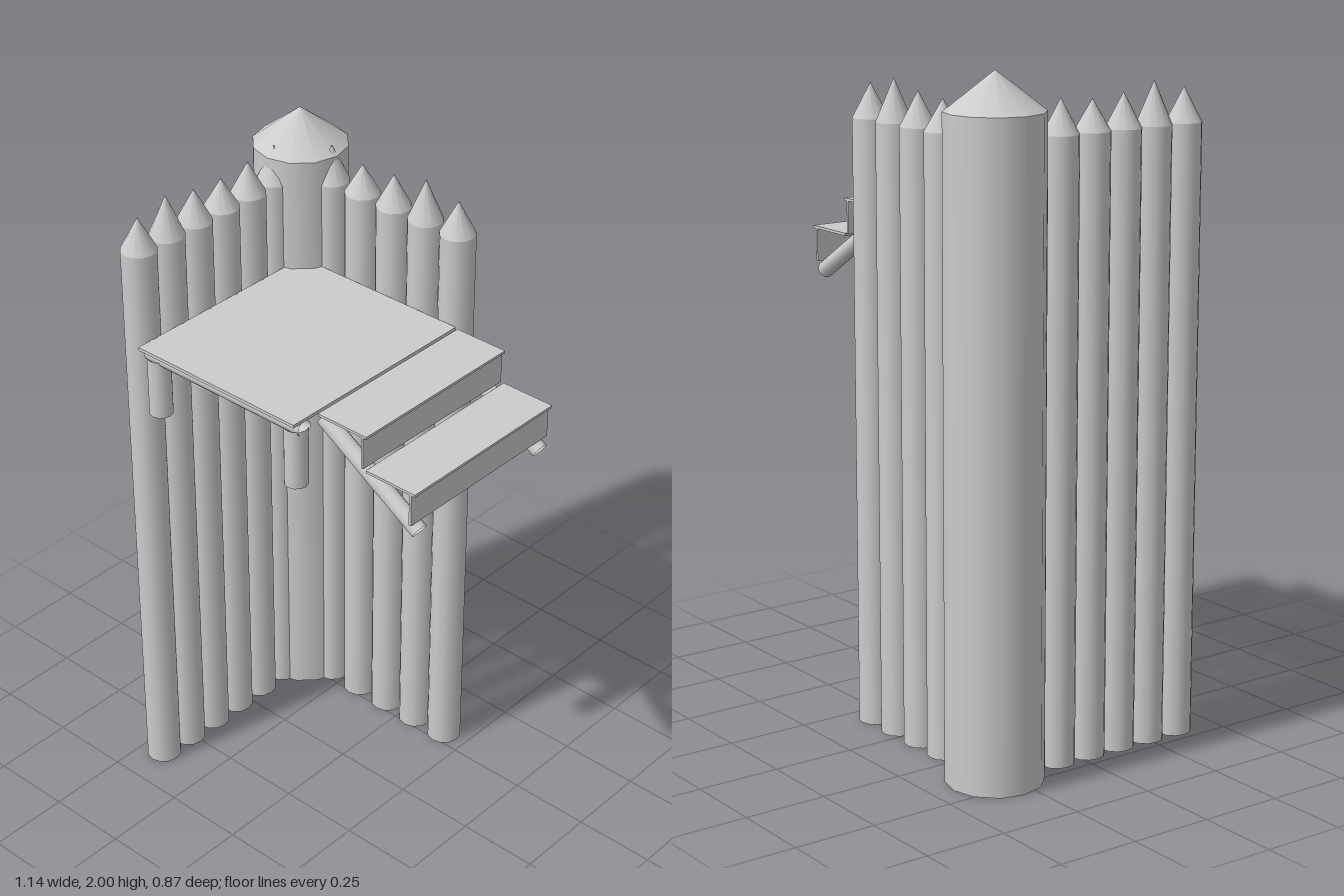
import * as THREE from 'three';

export function createModel() {
  const model = new THREE.Group();
  const wood = new THREE.MeshStandardMaterial({ color: 0xcccccc, side: THREE.DoubleSide });
  wood.name = 'pale grey wood';

  const add = (name, geometry, x, y, z, parent = model) => {
    const mesh = new THREE.Mesh(geometry, wood);
    mesh.name = name;
    mesh.position.set(x, y, z);
    parent.add(mesh);
    return mesh;
  };

  // Upright log with a pointed top, open underneath
  const log = (name, x, z, radius, shoulder, tip) => {
    const group = new THREE.Group();
    group.name = name;
    group.position.set(x, 0, z);
    model.add(group);
    add('shaft', new THREE.CylinderGeometry(radius, radius, shoulder, 12, 1, true), 0, shoulder / 2, 0, group);
    add('point', new THREE.ConeGeometry(radius, tip - shoulder, 12, 1, true), 0, (shoulder + tip) / 2, 0, group);
  };

  // Open round bar between two points
  const bar = (name, from, to, radius) => {
    const a = new THREE.Vector3(...from), b = new THREE.Vector3(...to);
    const mid = a.clone().add(b).multiplyScalar(0.5);
    const mesh = add(name, new THREE.CylinderGeometry(radius, radius, a.distanceTo(b), 12, 1, true), mid.x, mid.y, mid.z);
    mesh.quaternion.setFromUnitVectors(new THREE.Vector3(0, 1, 0), b.sub(a).normalize());
  };

  // Corner tower and the two palisade rows that meet at it
  log('cornerTower', -0.428, -0.293, 0.142, 1.89, 2);
  [1.91, 1.935, 1.91, 1.9, 1.92].forEach((tip, i) =>
    log('backStake', 0.166 - i * 0.118, -0.293, 0.053, 1.81, tip));
  [1.91, 1.935, 1.91, 1.9, 1.91, 1.92].forEach((tip, i) =>
    log('sideStake', -0.428, 0.364 - i * 0.109, 0.053, 1.81, tip));

  // Walkway deck with its beams and short posts
  add('deck', new THREE.BoxGeometry(0.588, 0.01, 0.672), -0.084, 1.54, 0.095);
  for (const z of [0.388, -0.195]) {
    bar('deckBeam', [-0.375, 1.513, z], [0.21, 1.513, z], 0.025);
    for (const x of [-0.342, 0.179]) bar('deckPost', [x, 1.325, z], [x, 1.51, z], 0.035);
  }

  // Two steps on a pair of sloping round stringers
  [0, 1].forEach(i => {
    const y = 1.54 - i * 0.106;
    add('tread', new THREE.BoxGeometry(0.172, 0.008, 0.582), 0.305 + i * 0.172, y, 0.053);
    add('riser', new THREE.BoxGeometry(0.008, 0.098, 0.582), 0.377 + i * 0.17, y - 0.053, 0.053);
  });
  for (const z of [0.311, -0.204]) bar('stringer', [0.212, 1.514, z], [0.554, 1.3, z], 0.025);

  return model;
}
